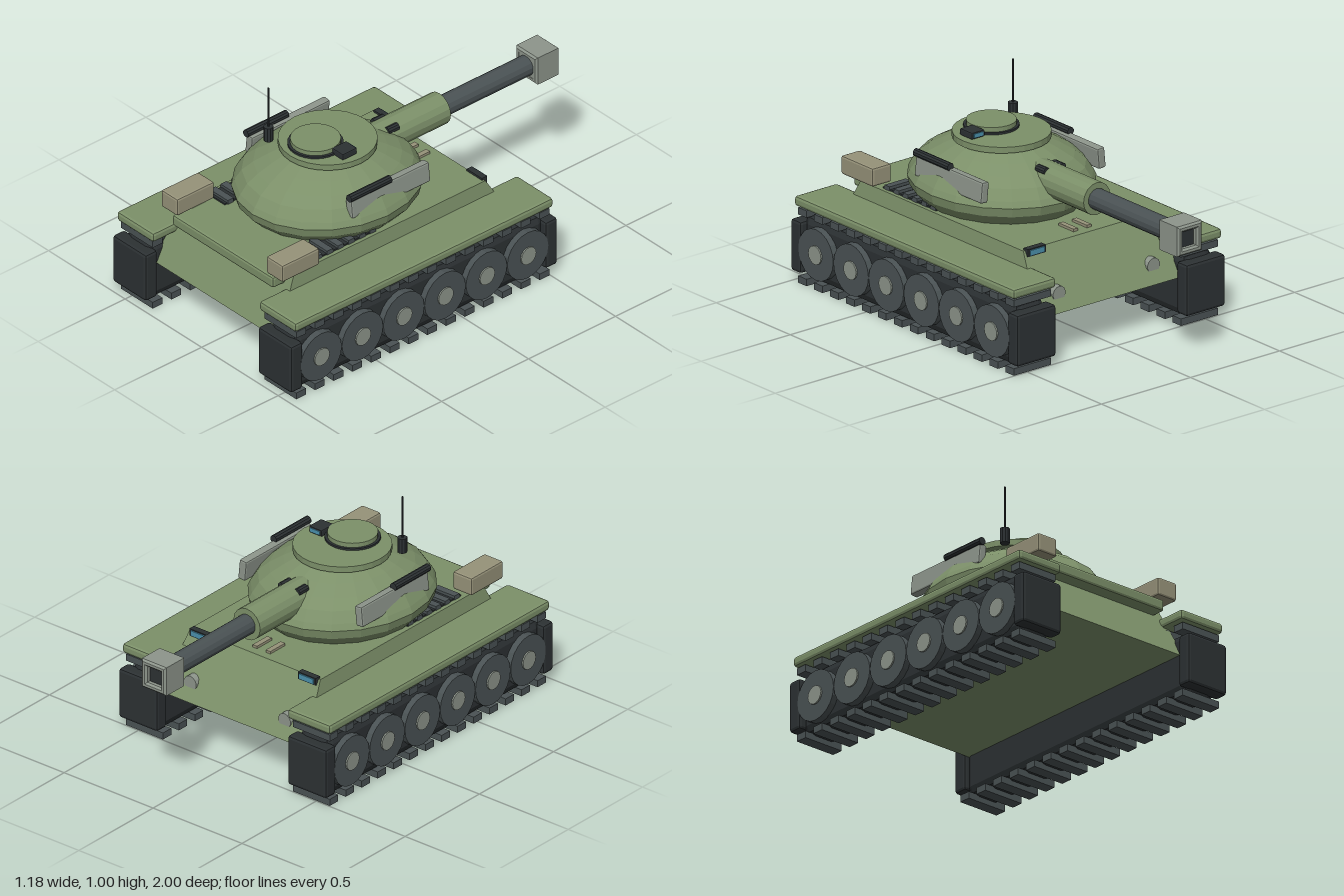
import * as THREE from 'three';
import { RoundedBoxGeometry } from 'three/addons/geometries/RoundedBoxGeometry.js';

const mat = (color) => new THREE.MeshStandardMaterial({ color, flatShading: true });
const green = mat(0x7c9069), dark = mat(0x2c3133), steel = mat(0x4a5254),
  grey = mat(0x8d958b), tan = mat(0x969279), glass = mat(0x4a90ac);

export function createModel() {
  const tank = new THREE.Group();
  tank.name = 'tank';

  const add = (name, geo, material, x, y, z) => {
    const m = new THREE.Mesh(geo, material);
    m.name = name;
    m.position.set(x, y, z);
    tank.add(m);
    return m;
  };
  // Box given by its extents; r > 0 bevels its edges
  const box = (name, material, [x0, x1], [y0, y1], [z0, z1], r = 0) => {
    const s = [x1 - x0, y1 - y0, z1 - z0];
    const geo = r ? new RoundedBoxGeometry(...s, 1, r) : new THREE.BoxGeometry(...s);
    return add(name, geo, material, (x0 + x1) / 2, (y0 + y1) / 2, (z0 + z1) / 2);
  };
  // The same box on both sides
  const pair = (name, material, [a, b], y, z, r) => {
    box(name + 'Left', material, [a, b], y, z, r);
    box(name + 'Right', material, [-b, -a], y, z, r);
  };
  const cyl = (name, material, r, len, axis, x, y, z, sides = 20) => {
    const geo = new THREE.CylinderGeometry(r, r, len, sides);
    if (axis === 'x') geo.rotateZ(Math.PI / 2);
    if (axis === 'z') geo.rotateX(Math.PI / 2);
    return add(name, geo, material, x, y, z);
  };

  // Hull: a box whose sides, nose and tail lean inwards towards the top
  const hull = new THREE.BoxGeometry(2, 1, 2);
  const p = hull.attributes.position;
  for (let i = 0; i < p.count; i++) {
    const top = p.getY(i) > 0;
    p.setXYZ(i, p.getX(i) * (top ? 0.365 : 0.41), top ? 0.47 : 0.21,
      p.getZ(i) > 0 ? (top ? 0.79 : 0.92) : (top ? -0.31 : -0.465));
  }
  hull.computeVertexNormals();
  add('hull', hull, green, 0, 0, 0);
  box('rearDeckLip', green, [-0.33, 0.33], [0.415, 0.47], [0.77, 0.88], 0.012);
  pair('fender', green, [0.345, 0.585], [0.355, 0.402], [-0.51, 0.975], 0.014);

  // Hull fittings
  pair('visionBlock', dark, [0.255, 0.355], [0.445, 0.48], [-0.33, -0.3]);
  pair('visionGlass', glass, [0.265, 0.345], [0.45, 0.475], [-0.336, -0.328]);
  pair('deckStrip', tan, [0.025, 0.05], [0.468, 0.482], [-0.27, -0.17]);
  pair('engineGrille', dark, [0.235, 0.345], [0.465, 0.477], [0.3, 0.66]);
  for (let i = 0; i < 6; i++) {
    const z = 0.32 + i * 0.062;
    pair('grilleSlat', steel, [0.23, 0.348], [0.47, 0.49], [z - 0.017, z + 0.017]);
  }

  // Running gear
  for (const s of [1, -1]) {
    cyl('headlamp', grey, 0.035, 0.05, 'z', s * 0.265, 0.285, -0.408, 14);
    const across = (a, b) => (s > 0 ? [a, b] : [-b, -a]);
    box('trackCore', dark, across(0.385, 0.555), [0.025, 0.318], [-0.49, 0.955], 0.04);
    for (const z of [-0.5, 0.965])
      box('trackEnd', dark, across(0.365, 0.585), [0.05, 0.29], [z - 0.035, z + 0.035], 0.014);
    for (let i = 0; i < 14; i++) {
      const z = -0.468 + i * 0.1077;
      box('lowerTrackPad', steel, across(0.365, 0.573), [0, 0.032], [z - 0.028, z + 0.028]);
      box('upperTrackPad', steel, across(0.365, 0.573), [0.316, 0.348], [z - 0.028, z + 0.028]);
    }
    for (let i = 0; i < 6; i++) {
      const z = -0.361 + i * 0.2376;
      cyl('wheel', steel, 0.118, 0.1, 'x', s * 0.535, 0.17, z);
      cyl('wheelHub', grey, 0.043, 0.05, 'x', s * 0.567, 0.17, z, 14);
    }
  }

  // Turret: an oval dome
  const profile = [[0, 0.47], [0.34, 0.47], [0.385, 0.52], [0.395, 0.562], [0.382, 0.59],
    [0.352, 0.637], [0.305, 0.675], [0.245, 0.71], [0.18, 0.742], [0, 0.752]];
  const dome = new THREE.LatheGeometry(profile.map(([x, y]) => new THREE.Vector2(x, y)), 20);
  add('turret', dome, green, 0, 0, 0.275).scale.z = 1.1;
  cyl('turretRoof', green, 0.216, 0.028, 'y', 0, 0.756, 0.275, 28);
  cyl('hatchRim', dark, 0.122, 0.012, 'y', 0, 0.773, 0.345, 28);
  cyl('hatch', green, 0.11, 0.036, 'y', 0, 0.782, 0.345, 28);
  box('periscope', dark, [0.105, 0.178], [0.768, 0.8], [0.262, 0.345], 0.006);
  box('periscopeGlass', glass, [0.115, 0.168], [0.775, 0.794], [0.258, 0.266]);

  // Antenna
  cyl('antennaBase', dark, 0.022, 0.07, 'y', -0.2, 0.765, 0.44, 10);
  cyl('antenna', dark, 0.004, 0.22, 'y', -0.2, 0.89, 0.44, 6);

  // Side panels, rolls and stowage boxes
  for (const s of [1, -1]) {
    const panel = box('sidePanel', grey, [-0.02, 0.02], [-0.048, 0.048], [-0.225, 0.225], 0.008);
    panel.position.set(s * 0.328, 0.64, 0.217);
    panel.rotation.z = s * 0.1;
    cyl('sideRoll', dark, 0.018, 0.235, 'z', s * 0.337, 0.697, 0.332, 10);
    cyl('sightTube', dark, 0.018, 0.06, 'z', s * 0.045, 0.692, -0.055, 10);
  }
  pair('stowageBox', tan, [0.29, 0.397], [0.482, 0.568], [0.67, 0.885], 0.01);

  // Gun
  cyl('gunSleeve', green, 0.075, 0.42, 'z', 0, 0.64, -0.158, 16);
  cyl('barrel', steel, 0.048, 0.56, 'z', 0, 0.64, -0.63, 14);
  const square = (C, h) => new C().moveTo(-h, -h).lineTo(h, -h).lineTo(h, h).lineTo(-h, h).closePath();
  const face = square(THREE.Shape, 0.06);
  face.holes.push(square(THREE.Path, 0.048));
  const brake = new THREE.ExtrudeGeometry(face, {
    depth: 0.118, bevelEnabled: true, bevelThickness: 0.009, bevelSize: 0.009, bevelSegments: 1,
  });
  add('muzzleBrake', brake, grey, 0, 0.64, -0.991);
  box('muzzleBack', grey, [-0.06, 0.06], [0.58, 0.7], [-0.885, -0.866]);
  box('muzzleBore', dark, [-0.045, 0.045], [0.595, 0.685], [-0.975, -0.88]);

  return tank;
}
